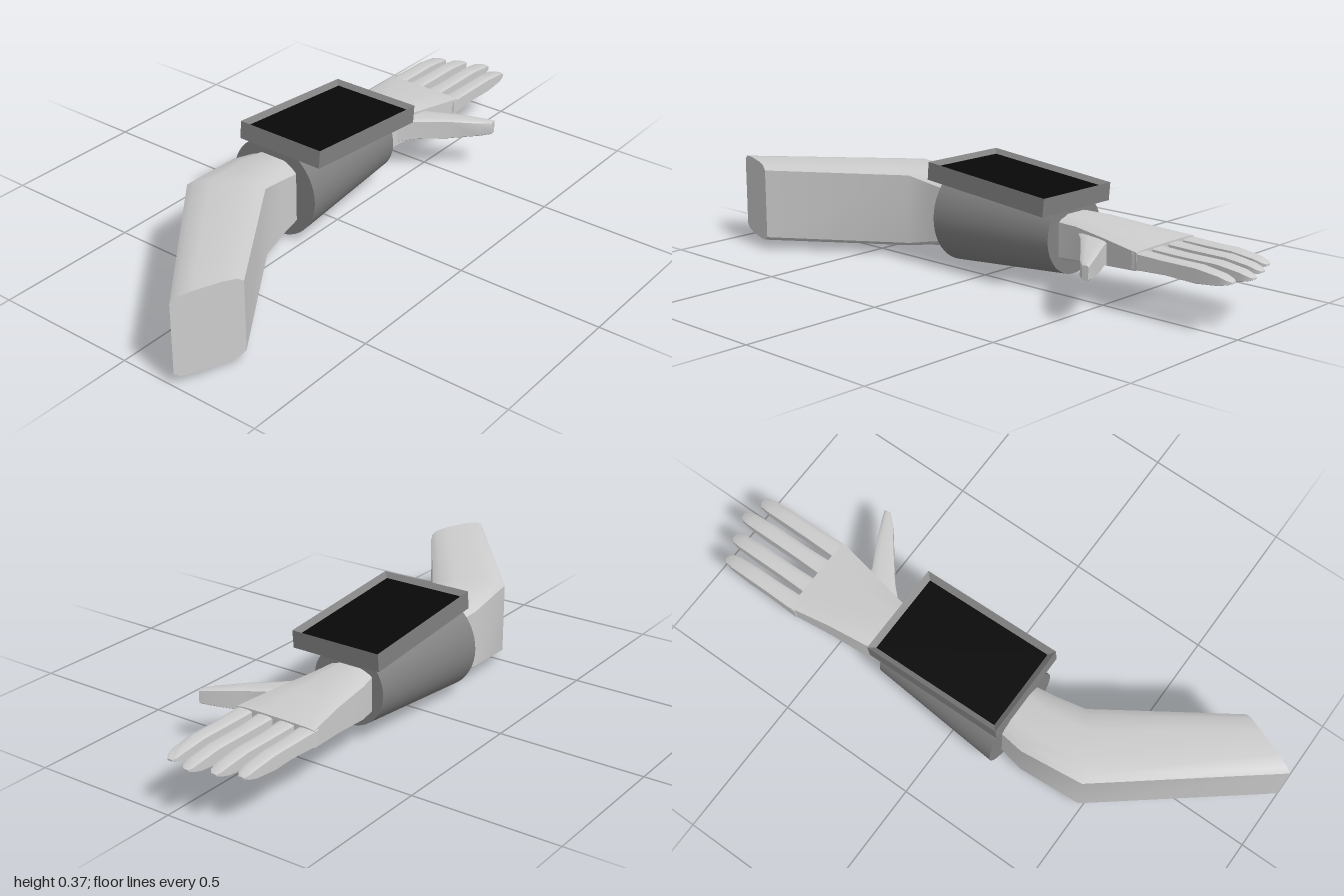
import * as THREE from 'three';
import { toCreasedNormals } from 'three/addons/utils/BufferGeometryUtils.js';

// Half profile of a soft-cornered box section, mirrored below to close the loop
const UPPER = [[1, 0.86], [0.82, 0.96], [0.4, 1], [-0.4, 1], [-0.82, 0.96], [-1, 0.86]];
const PROFILE = [...UPPER, ...UPPER.map(([u, v]) => [-u, -v])];

// Upright section between two plan points a and b (x, z); round blends box to ellipse
function section([a, b, lo, hi, round = 0]) {
  return PROFILE.map(([u, v]) => {
    const len = Math.hypot(u, v);
    const s = THREE.MathUtils.lerp(u, u / len, round);
    const t = THREE.MathUtils.lerp(v, v / len, round);
    const k = (s + 1) / 2;
    return new THREE.Vector3(
      a[0] + (b[0] - a[0]) * k,
      (lo + hi) / 2 + (hi - lo) / 2 * t,
      a[1] + (b[1] - a[1]) * k
    );
  });
}

// Closed skin through rings of equal point count, with end caps facing outwards
function loft(rings, crease = 0.6) {
  const tris = [];
  const n = rings[0].length;
  const centre = ring => ring.reduce((s, p) => s.add(p), new THREE.Vector3()).divideScalar(n);
  const first = rings[0], last = rings[rings.length - 1];
  const c0 = centre(first), c1 = centre(last);
  for (let i = 0; i < n; i++) {
    const j = (i + 1) % n;
    for (let r = 0; r + 1 < rings.length; r++) {
      const p = rings[r], q = rings[r + 1];
      tris.push([p[i], p[j], q[j]], [p[i], q[j], q[i]]);
    }
    tris.push([c0, first[j], first[i]], [c1, last[i], last[j]]);
  }
  let volume = 0;
  const cross = new THREE.Vector3();
  for (const [a, b, c] of tris) volume += a.dot(cross.crossVectors(b, c));
  const points = tris.flatMap(([a, b, c]) => (volume < 0 ? [a, c, b] : [a, b, c]));
  return toCreasedNormals(new THREE.BufferGeometry().setFromPoints(points), crease);
}

export function createModel() {
  const model = new THREE.Group();
  const material = (name, color) => {
    const m = new THREE.MeshStandardMaterial({ color });
    m.name = name;
    return m;
  };
  const skin = material('light grey skin', 0xcccccc);
  const gear = material('mid grey casing', 0x808080);
  const black = material('black screen', 0x080808);

  const add = (name, geometry, mat, parent = model) => {
    const mesh = new THREE.Mesh(geometry, mat);
    mesh.name = name;
    parent.add(mesh);
    return mesh;
  };

  // Bent arm, boxy at the elbow end and rounding into the cuff
  add('arm', loft([
    [[-1, 0.2], [-0.785, 0.285], 0.026, 0.305, 0],
    [[-0.49, -0.21], [-0.36, 0], 0.027, 0.305, 0],
    [[-0.27, -0.245], [-0.26, 0], 0.035, 0.298, 0.5],
    [[-0.15, -0.24], [-0.15, 0.005], 0.045, 0.29, 1],
  ].map(section)), skin);

  // Tapered cuff around the forearm
  const cuff = add('cuff', new THREE.CylinderGeometry(0.132, 0.17, 0.472, 48), gear);
  cuff.rotation.z = -Math.PI / 2;
  cuff.position.set(0.05, 0.172, -0.115);

  // Tilted display: case with a sloping bezel and a recessed screen
  const display = new THREE.Group();
  display.name = 'display';
  display.position.set(0.065, 0.317, -0.0875);
  display.rotation.z = -0.088;
  model.add(display);
  const L = 0.508, W = 0.328, H = 0.061, inset = 0.02, depth = 0.016;
  const rect = (l, w, y) => [[1, 1], [1, -1], [-1, -1], [-1, 1]]
    .map(([x, z]) => new THREE.Vector3(x * l / 2, y, z * w / 2));
  add('displayCase', loft([
    rect(L, W, -H / 2),
    rect(L, W, H / 2),
    rect(L - 2 * inset, W - 2 * inset, H / 2 - depth),
  ], 0.3), gear, display);
  const screen = add('screen',
    new THREE.BoxGeometry(L - 2 * inset, 0.003, W - 2 * inset), black, display);
  screen.position.y = H / 2 - depth + 0.001;

  // Hand: flat wedge from wrist to knuckles
  const hand = new THREE.Group();
  hand.name = 'hand';
  model.add(hand);
  add('palm', loft([
    [[0.25, -0.215], [0.25, -0.02], 0.08, 0.25, 0.8],
    [[0.36, -0.24], [0.36, -0.015], 0.095, 0.243, 0.6],
    [[0.5, -0.247], [0.5, 0.008], 0.12, 0.226, 0.3],
    [[0.65, -0.26], [0.65, 0.03], 0.142, 0.208, 0],
  ].map(section)), skin, hand);

  // Four fingers: centre z and tip x, little finger first
  [[-0.232, 0.945], [-0.158, 0.975], [-0.077, 1], [0, 0.98]].forEach(([z, tip], i) => {
    const ring = (x, w, lo, hi, round) => section([[x, z - w], [x, z + w], lo, hi, round]);
    add('finger' + (i + 1), loft([
      ring(0.63, 0.029, 0.146, 0.203, 0),
      ring(0.75, 0.027, 0.15, 0.2, 0.2),
      ring(tip - 0.12, 0.027, 0.146, 0.2, 0.2),
      ring(tip - 0.04, 0.026, 0.154, 0.189, 0.4),
      ring(tip - 0.012, 0.022, 0.162, 0.179, 0.6),
      ring(tip, 0.012, 0.167, 0.173, 1),
    ]), skin, hand);
  });

  // Thumb slanting out towards the front
  add('thumb', loft([
    [[0.34, -0.06], [0.5, -0.06], 0.12, 0.212, 0],
    [[0.42, 0.015], [0.515, 0.015], 0.13, 0.208, 0],
    [[0.49, 0.1], [0.562, 0.1], 0.132, 0.206, 0],
    [[0.56, 0.188], [0.607, 0.19], 0.142, 0.198, 0.2],
    [[0.592, 0.217], [0.615, 0.213], 0.146, 0.194, 0.3],
  ].map(section)), skin, hand);

  return model;
}
